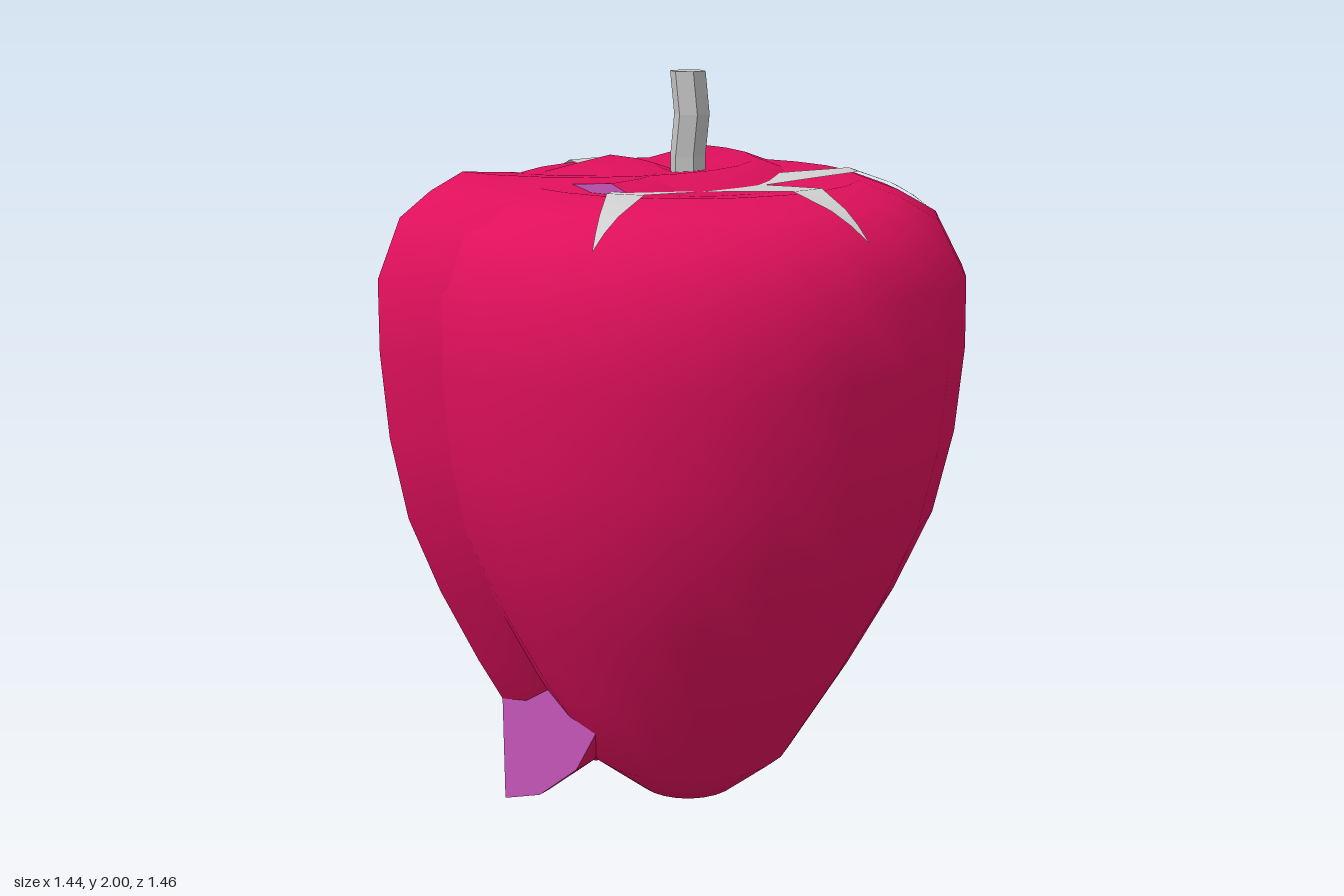
import * as THREE from 'three';

const mat = (name, color, extra = {}) => {
  const m = new THREE.MeshStandardMaterial({ color, ...extra });
  m.name = name;
  return m;
};

// Fruit profile (radius, height), bottom tip to dimpled top
const profile = [
  [0, 0], [0.14, 0.055], [0.285, 0.175], [0.44, 0.435], [0.56, 0.66], [0.655, 0.88], [0.703, 1.1],
  [0.722, 1.32], [0.718, 1.5], [0.643, 1.642], [0.545, 1.697], [0.44, 1.735], [0.3, 1.722], [0.15, 1.706], [0, 1.7],
].map(([r, y]) => new THREE.Vector2(r, y));

// Height of the fruit's upper surface at a given radius
function topHeight(r) {
  for (let i = profile.length - 1; i > 8; i--) {
    const a = profile[i], b = profile[i - 1];
    if (r <= b.x) return a.y + (b.y - a.y) * (r - a.x) / (b.x - a.x);
  }
  return 1.5;
}

export function createModel() {
  const model = new THREE.Group();
  const skin = mat('crimson skin', 0xe0105c);
  const flesh = mat('pink flesh', 0xc455b8, { side: THREE.DoubleSide });
  const grey = mat('grey leaf', 0xd0d0d0, { side: THREE.DoubleSide });
  const stemGrey = mat('grey stem', 0xc4c4c4, { flatShading: true });

  const add = (parent, name, geometry, material) => {
    const mesh = new THREE.Mesh(geometry, material);
    mesh.name = name;
    parent.add(mesh);
    return mesh;
  };

  // Whole fruit
  add(model, 'fruitBody', new THREE.LatheGeometry(profile, 24), skin);

  // Flat cut face: half of the profile, on the +x or -x side of the axis
  const halfFace = (side) => new THREE.ShapeGeometry(
    new THREE.Shape(profile.map((p) => new THREE.Vector2(p.x * side, p.y))));

  // Cut pieces, slightly larger and pushed aside
  function cutPiece(name, z, segments, phiStart, phiLength) {
    const piece = new THREE.Group();
    piece.name = name;
    piece.position.set(-0.362, 0, z);
    piece.scale.setScalar(1.012);
    add(piece, name + 'Skin', new THREE.LatheGeometry(profile, segments, phiStart, phiLength), skin);
    model.add(piece);
    return piece;
  }
  const half = cutPiece('halfSlice', 0, 12, 0, Math.PI);
  for (const side of [1, -1]) {
    add(half, 'halfSliceCutFace', halfFace(side), flesh).rotation.y = -Math.PI / 2;
  }
  const quarter = cutPiece('quarterSlice', 0.362, 6, Math.PI / 2, Math.PI / 2);
  add(quarter, 'quarterSliceSideFace', halfFace(-1), flesh).rotation.y = -Math.PI / 2;
  add(quarter, 'quarterSliceFrontFace', halfFace(1), flesh);

  // Pointed leaf draped over the top, narrowing outward along +x
  const radii = [0.05, 0.15, 0.3, 0.44, 0.545, 0.6, 0.65];
  const positions = [], index = [];
  radii.forEach((r, i) => {
    const w = 0.225 * (0.65 - r);
    for (const s of [-1, 1]) positions.push(r, topHeight(Math.hypot(r, w)) + 0.008, s * w);
    if (i) {
      const k = 2 * i;
      index.push(k - 2, k - 1, k, k - 1, k + 1, k);
    }
  });
  const leaf = new THREE.BufferGeometry();
  leaf.setAttribute('position', new THREE.Float32BufferAttribute(positions, 3));
  leaf.setIndex(index);
  leaf.computeVertexNormals();
  for (let i = 0; i < 6; i++) {
    add(model, 'leaf', leaf, grey).rotation.y = -(7 + i * 60) * Math.PI / 180;
  }

  // Six-sided stem with a slight zigzag
  const stem = new THREE.CylinderGeometry(0.046, 0.046, 0.32, 6, 3);
  const pos = stem.attributes.position;
  for (let i = 0; i < pos.count; i++) {
    const y = pos.getY(i);
    if (y > 0 && y < 0.1) pos.setX(i, pos.getX(i) + 0.014);
  }
  stem.computeVertexNormals();
  add(model, 'stem', stem, stemGrey).position.y = 1.84;

  return model;
}
